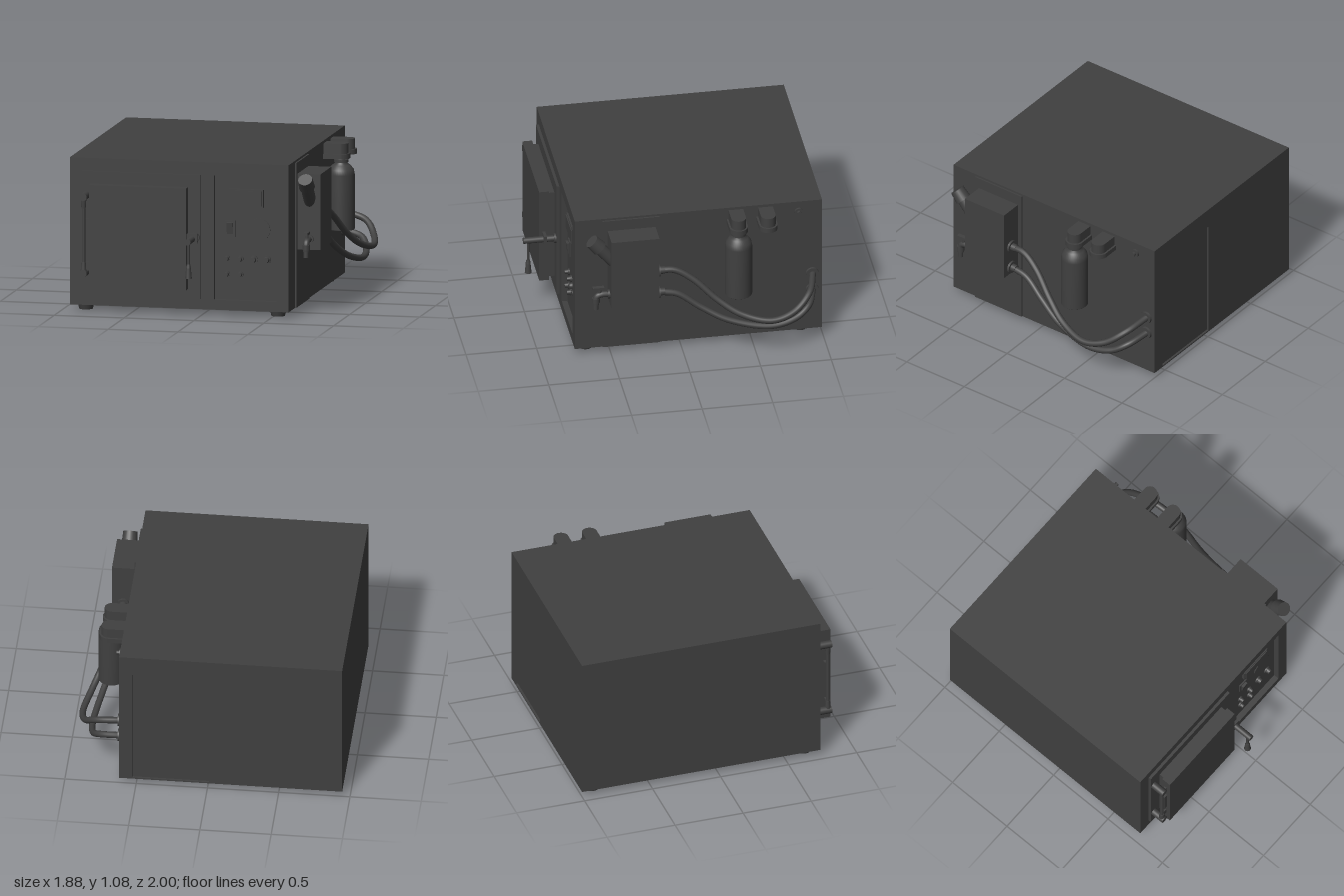
import * as THREE from 'three';

const V = (x, y, z) => new THREE.Vector3(x, y, z);

export function createModel() {
  const model = new THREE.Group();
  const mat = new THREE.MeshStandardMaterial({ color: 0x404040 });

  function add(name, geo, parent = model) {
    const m = new THREE.Mesh(geo, mat);
    m.name = name;
    parent.add(m);
    return m;
  }
  function group(name) {
    const g = new THREE.Group();
    g.name = name;
    model.add(g);
    return g;
  }
  // Box given by its limits
  function box(name, x0, x1, y0, y1, z0, z1, parent) {
    const geo = new THREE.BoxGeometry(x1 - x0, y1 - y0, z1 - z0);
    return add(name, geo.translate((x0 + x1) / 2, (y0 + y1) / 2, (z0 + z1) / 2), parent);
  }
  // Cylinder or cone between two points
  function rod(name, a, b, r0, r1 = r0, parent = model, sides = 24) {
    const dir = b.clone().sub(a);
    const m = add(name, new THREE.CylinderGeometry(r1, r0, dir.length(), sides), parent);
    m.position.copy(a).add(b).multiplyScalar(0.5);
    m.quaternion.setFromUnitVectors(V(0, 1, 0), dir.normalize());
    return m;
  }
  function tube(name, pts, r, parent) {
    const curve = new THREE.CatmullRomCurve3(pts.map(p => V(...p)));
    return add(name, new THREE.TubeGeometry(curve, 64, r, 14), parent);
  }
  function rect(S, x0, x1, y0, y1) {
    const s = new S();
    s.moveTo(x0, y0);
    s.lineTo(x1, y0);
    s.lineTo(x1, y1);
    s.lineTo(x0, y1);
    s.closePath();
    return s;
  }
  // Plate of the cabinet's outline with one rectangular opening
  function plate(name, z0, z1, hole, parent) {
    const s = rect(THREE.Shape, -0.945, 0.62, 0.04, 1.08);
    s.holes.push(rect(THREE.Path, ...hole));
    const geo = new THREE.ExtrudeGeometry(s, { depth: z1 - z0, bevelEnabled: false });
    return add(name, geo.translate(0, 0, z0), parent);
  }

  // Cabinet: core with a recessed control bay in front and a recessed panel behind
  const cabinet = group('cabinet');
  box('core', -0.945, 0.62, 0.04, 1.08, -0.985, 0.71, cabinet);
  plate('frontFrame', 0.71, 0.75, [0.085, 0.535, 0.11, 0.99], cabinet);
  plate('rearFrame', -1, -0.985, [-0.01, 0.525, 0.05, 0.935], cabinet);
  box('sidePanel', 0.61, 0.632, 0.042, 1.065, 0.15, 0.555, cabinet);
  for (const [x, z] of [[-0.85, 0.66], [0.525, 0.66], [-0.85, -0.895], [0.525, -0.86]])
    rod('foot', V(x, 0, z), V(x, 0.045, z), 0.047, 0.06, cabinet);

  // Door on its raised surround
  const door = group('door');
  box('doorSurround', -0.855, -0.01, 0.115, 0.99, 0.74, 0.77, door);
  box('doorSeal', -0.76, -0.1, 0.21, 0.89, 0.765, 0.815, door);
  box('doorPanel', -0.78, -0.085, 0.19, 0.91, 0.81, 0.88, door);

  // Hinge: pins at both ends, a rod between them and links to the door
  const hinge = group('hinge');
  rod('hingeRod', V(-0.825, 0.28, 0.845), V(-0.825, 0.82, 0.845), 0.012, 0.012, hinge);
  box('hingeBlock', -0.81, -0.778, 0.435, 0.665, 0.825, 0.855, hinge);
  for (const [y, s] of [[0.82, -1], [0.28, 1]]) {
    rod('hingePin', V(-0.825, y, 0.76), V(-0.825, y, 0.87), 0.027, 0.027, hinge);
    rod('hingeKnuckle', V(-0.825, y, 0.845), V(-0.825, y + s * 0.08, 0.845), 0.022, 0.016, hinge);
    box('hingeLink', -0.825, -0.775, y + s * 0.05 - 0.03, y + s * 0.05 + 0.03, 0.832, 0.848, hinge);
  }

  // Latch with a hanging handle
  const latch = group('latch');
  const lx = -0.047, ly = 0.55;
  rod('latchFlange', V(lx, ly, 0.76), V(lx, ly, 0.785), 0.035, 0.035, latch);
  rod('latchShaft', V(lx, ly, 0.76), V(lx, ly, 1), 0.022, 0.022, latch);
  box('latchPlate', -0.085, -0.012, 0.52, 0.587, 0.838, 0.858, latch);
  rod('handleStem', V(lx, ly, 0.965), V(lx, 0.38, 0.965), 0.009, 0.009, latch);
  rod('handleNeck', V(lx, 0.39, 0.965), V(lx, 0.365, 0.965), 0.013, 0.018, latch);
  rod('handleGrip', V(lx, 0.37, 0.965), V(lx, 0.29, 0.965), 0.016, 0.024, latch);

  // Controls inside the recessed bay
  const controls = group('controls');
  box('displayFrame', 0.19, 0.435, 0.77, 0.895, 0.7, 0.735, controls);
  box('displayScreen', 0.2, 0.425, 0.78, 0.885, 0.73, 0.742, controls);
  box('switchPlate', 0.16, 0.23, 0.555, 0.67, 0.7, 0.72, controls);
  const rocker = box('switchRocker', -0.022, 0.022, -0.04, 0.04, -0.012, 0.012, controls);
  rocker.position.set(0.195, 0.617, 0.722);
  rocker.rotation.x = 0.12;
  rod('dial', V(0.4, 0.61, 0.7), V(0.4, 0.61, 0.718), 0.08, 0.08, controls, 40);
  for (const [x, y, r] of [[0.17, 0.4, 0.023], [0.265, 0.4, 0.023], [0.17, 0.29, 0.023],
    [0.265, 0.29, 0.023], [0.36, 0.4, 0.03], [0.455, 0.4, 0.03]]) {
    rod('buttonBase', V(x, y, 0.7), V(x, y, 0.722), r, r, controls);
    rod('buttonCap', V(x, y, 0.72), V(x, y, 0.745), r * 0.75, r * 0.6, controls);
  }

  // Side box with filler neck and tap
  box('sideBox', 0.63, 0.795, 0.45, 0.985, 0.18, 0.52);
  const filler = group('filler');
  rod('fillerNeck', V(0.715, 0.78, 0.485), V(0.715, 0.92, 0.605), 0.044, 0.044, filler);
  rod('fillerCap', V(0.715, 0.905, 0.592), V(0.715, 0.965, 0.647), 0.056, 0.05, filler);

  const tap = group('tap');
  rod('tapFlange', V(0.715, 0.525, 0.51), V(0.715, 0.525, 0.535), 0.032, 0.032, tap);
  tube('tapSpout', [[0.715, 0.525, 0.52], [0.715, 0.525, 0.58], [0.715, 0.515, 0.605],
    [0.715, 0.49, 0.617], [0.715, 0.45, 0.617]], 0.022, tap);
  rod('tapCollar', V(0.715, 0.5, 0.617), V(0.715, 0.465, 0.617), 0.027, 0.027, tap);
  rod('tapNozzle', V(0.715, 0.47, 0.617), V(0.715, 0.41, 0.617), 0.018, 0.018, tap);
  rod('tapStem', V(0.715, 0.525, 0.59), V(0.715, 0.58, 0.59), 0.012, 0.012, tap);
  box('tapLever', 0.7, 0.73, 0.568, 0.586, 0.56, 0.64, tap);

  // Two hoses from the side box to the rear of the cabinet
  const hoses = group('hoses');
  const paths = [
    [[0.715, 0.68, 0.17], [0.72, 0.675, 0.06], [0.75, 0.6, -0.07], [0.81, 0.455, -0.23],
      [0.87, 0.355, -0.39], [0.915, 0.31, -0.6], [0.885, 0.35, -0.76], [0.8, 0.44, -0.88], [0.62, 0.49, -0.935]],
    [[0.715, 0.505, 0.17], [0.72, 0.48, 0.04], [0.755, 0.375, -0.12], [0.805, 0.28, -0.31],
      [0.845, 0.225, -0.6], [0.825, 0.26, -0.78], [0.77, 0.32, -0.88], [0.62, 0.36, -0.935]],
  ];
  for (const p of paths) {
    tube('hose', p, 0.023, hoses);
    const y0 = p[0][1], y1 = p[p.length - 1][1];
    rod('boxPort', V(0.715, y0, 0.185), V(0.715, y0, 0.165), 0.045, 0.045, hoses);
    rod('boxNipple', V(0.715, y0, 0.17), V(0.715, y0, 0.13), 0.028, 0.026, hoses);
    rod('wallPort', V(0.61, y1, -0.93), V(0.635, y1, -0.93), 0.047, 0.043, hoses);
  }

  // Round-ended bracket heads near the top of the side wall
  function stadium(r, end, h) {
    const s = new THREE.Shape();
    s.moveTo(0, -r);
    s.lineTo(end - r, -r);
    s.absarc(end - r, 0, r, -Math.PI / 2, Math.PI / 2, false);
    s.lineTo(0, r);
    s.closePath();
    return new THREE.ExtrudeGeometry(s, { depth: h, bevelEnabled: false, curveSegments: 20 }).rotateX(-Math.PI / 2);
  }
  for (const z of [-0.39, -0.6]) {
    const head = group('bottleHead');
    head.position.set(0.615, 0, z);
    add('headTop', stadium(0.052, 0.17, 0.08), head).position.y = 0.98;
    add('headCollar', stadium(0.065, 0.183, 0.035), head).position.y = 0.953;
  }

  // Bottle hanging from the front head
  const profile = [[0, 0.45], [0.09, 0.45], [0.095, 0.455], [0.095, 0.84], [0.088, 0.875],
    [0.065, 0.905], [0.04, 0.92], [0.037, 0.96]].map(p => new THREE.Vector2(...p));
  const bottle = add('bottle', new THREE.LatheGeometry(profile, 36));
  bottle.position.set(0.735, 0, -0.39);
  rod('bottleNeckRing', V(0.735, 0.925, -0.39), V(0.735, 0.945, -0.39), 0.05);

  // Small outlet at the rear top of the side wall
  const outlet = group('outlet');
  rod('outletBase', V(0.61, 1, -0.835), V(0.635, 1, -0.835), 0.03, 0.03, outlet);
  rod('outletNipple', V(0.63, 1, -0.835), V(0.655, 1, -0.835), 0.015, 0.015, outlet);

  return model;
}
